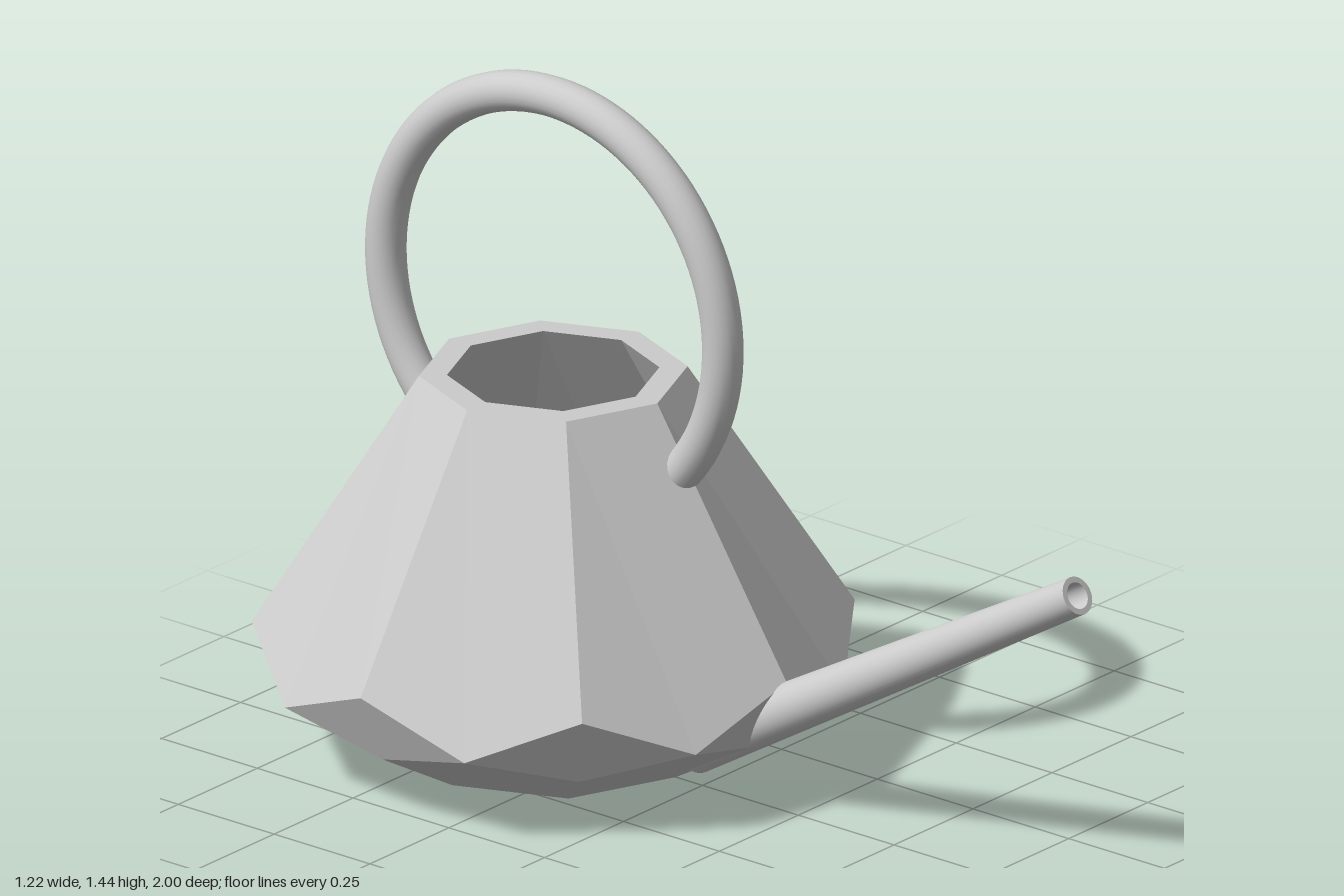
import * as THREE from 'three';

const BODY_Z = -0.39;
const STEP = Math.PI / 8;

// Corner of the faceted body: radius, height and angle in sixteenths of a turn
const corner = ([r, y], k) => new THREE.Vector3(r * Math.sin(k * STEP), y, r * Math.cos(k * STEP));

// Triangulates convex polygons as fans without sharing vertices
function polygons(list) {
  const points = [];
  for (const p of list) {
    for (let i = 1; i < p.length - 1; i++) points.push(p[0], p[i], p[i + 1]);
  }
  const geometry = new THREE.BufferGeometry().setFromPoints(points);
  geometry.computeVertexNormals();
  return geometry;
}

// Eight tall panels, eight lozenges, eight lower panels and a floor
function shell({ top, waist, point, low, base }, inward) {
  const faces = [];
  const floor = [];
  for (let k = 0; k < 16; k += 2) {
    faces.push([corner(top, k), corner(waist, k), corner(point, k + 1), corner(waist, k + 2), corner(top, k + 2)]);
    faces.push([corner(low, k), corner(point, k + 1), corner(waist, k), corner(point, k - 1)]);
    faces.push([corner(point, k + 1), corner(low, k), corner(base, k), corner(base, k + 2), corner(low, k + 2)]);
    floor.unshift(corner(base, k));
  }
  faces.push(floor);
  return inward ? faces.map((f) => f.reverse()) : faces;
}

export function createModel() {
  const model = new THREE.Group();
  const smooth = new THREE.MeshStandardMaterial({ color: 0xcccccc });
  const faceted = new THREE.MeshStandardMaterial({ color: 0xcccccc, flatShading: true });

  const add = (name, geometry, material) => {
    const mesh = new THREE.Mesh(geometry, material);
    mesh.name = name;
    model.add(mesh);
    return mesh;
  };

  // Body: outer and inner skins joined by a flat octagonal rim
  const outer = { top: [0.272, 0.8], waist: [0.61, 0.28], point: [0.612, 0.185], low: [0.54, 0.125], base: [0.32, 0] };
  const inner = { top: [0.215, 0.8], waist: [0.558, 0.272], point: [0.562, 0.2], low: [0.505, 0.155], base: [0.305, 0.045] };
  const rim = [];
  for (let k = 0; k < 16; k += 2) {
    rim.push([corner(outer.top, k), corner(outer.top, k + 2), corner(inner.top, k + 2), corner(inner.top, k)]);
  }
  const body = add('body', polygons([...shell(outer, false), ...shell(inner, true), ...rim]), faceted);
  body.position.z = BODY_Z;

  // Handle: round hoop whose ends sink into the body wall
  const drop = THREE.MathUtils.degToRad(42);
  const hoop = new THREE.TorusGeometry(0.44, 0.042, 20, 80, Math.PI + 2 * drop);
  hoop.rotateZ(-drop);
  hoop.rotateY(Math.PI / 2);
  const handle = add('handle', hoop, smooth);
  handle.position.set(0, 0.957, BODY_Z + 0.003);

  // Flat discs closing the handle ends
  for (const side of [-1, 1]) {
    const disc = new THREE.CircleGeometry(0.042, 20);
    disc.rotateX(side > 0 ? Math.PI / 2 + (Math.PI / 2 - drop) - Math.PI / 2 + drop : Math.PI / 2);
    disc.rotateX(side * drop);
    const cap = add('handleEnd', disc, smooth);
    cap.position.set(0, 0.957 - 0.44 * Math.sin(drop), BODY_Z + 0.003 + side * 0.44 * Math.cos(drop));
  }

  // Spout: tapered hollow tube with a crisp lip
  const start = new THREE.Vector3(0, 0.082, -0.02);
  const end = new THREE.Vector3(0, 0.666, 0.979);
  const length = start.distanceTo(end);
  const spout = new THREE.Group();
  spout.name = 'spout';
  const sections = {
    spoutWall: [[0, 0], [0.058, 0], [0.058, 0], [0.04, length]],
    spoutLip: [[0.04, length], [0.028, length]],
    spoutBore: [[0.028, length], [0.042, 0.03]],
    spoutBoreEnd: [[0.042, 0.03], [0, 0.03]],
  };
  sections.spoutWall.splice(0, 2);
  sections.spoutBase = [[0, 0], [0.058, 0]];
  for (const [name, profile] of Object.entries(sections)) {
    const points = profile.map(([r, y]) => new THREE.Vector2(r, y));
    const mesh = new THREE.Mesh(new THREE.LatheGeometry(points, 32), smooth);
    mesh.name = name;
    spout.add(mesh);
  }
  spout.position.copy(start);
  spout.quaternion.setFromUnitVectors(new THREE.Vector3(0, 1, 0), end.clone().sub(start).normalize());
  model.add(spout);

  return model;
}
